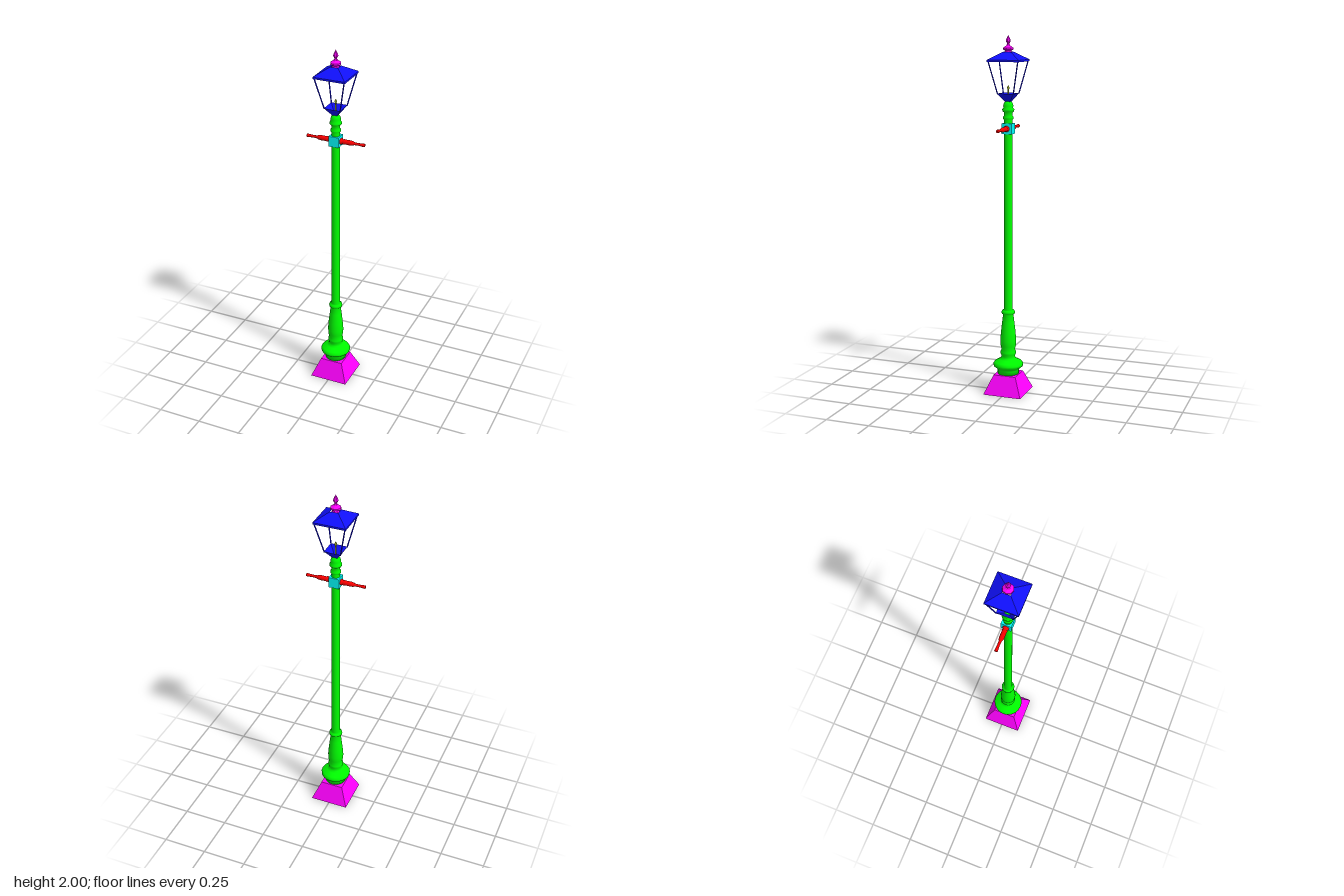
import * as THREE from 'three';

const mat = (color, flatShading = false) =>
  new THREE.MeshStandardMaterial({ color, flatShading, side: THREE.DoubleSide });
const MAGENTA = mat(0xff00ff, true), GREEN = mat(0x00ff00), BLUE = mat(0x1010ff, true);
const CYAN = mat(0x00ffff, true), RED = mat(0xff0000), OLIVE = mat(0x99aa22);

function add(parent, name, geometry, material) {
  const mesh = new THREE.Mesh(geometry, material);
  mesh.name = name;
  parent.add(mesh);
  return mesh;
}

// Square frustum given by its half widths and heights
function frustum(bottom, top, y0, y1, open = false) {
  const g = new THREE.CylinderGeometry(top * Math.SQRT2, bottom * Math.SQRT2, y1 - y0, 4, 1, open);
  return g.rotateY(Math.PI / 4).translate(0, (y0 + y1) / 2, 0);
}

const lathe = (profile, sides) =>
  new THREE.LatheGeometry(profile.map(([r, y]) => new THREE.Vector2(r, y)), sides);

// Thin rod between two points
function rod(a, b, radius) {
  const dir = b.clone().sub(a);
  const g = new THREE.CylinderGeometry(radius, radius, dir.length(), 6);
  g.applyQuaternion(new THREE.Quaternion().setFromUnitVectors(
    new THREE.Vector3(0, 1, 0), dir.normalize()));
  const mid = a.clone().add(b).multiplyScalar(0.5);
  return g.translate(mid.x, mid.y, mid.z);
}

export function createModel() {
  const lamp = new THREE.Group();
  lamp.name = 'streetLamp';

  // Plinth
  add(lamp, 'plinth', frustum(0.11, 0.065, 0, 0.107), MAGENTA);

  // Turned post: foot mouldings, vase, plain shaft and neck rings
  add(lamp, 'post', lathe([
    [0, 0.105], [0.06, 0.105], [0.06, 0.13], [0.068, 0.14], [0.083, 0.152], [0.085, 0.165],
    [0.076, 0.177], [0.05, 0.19], [0.041, 0.198], [0.038, 0.21], [0.043, 0.222], [0.044, 0.235],
    [0.038, 0.248], [0.043, 0.27], [0.045, 0.3], [0.041, 0.35], [0.034, 0.41], [0.029, 0.45],
    [0.037, 0.458], [0.038, 0.467], [0.034, 0.475], [0.025, 0.48], [0.023, 1.0], [0.023, 1.545],
    [0.028, 1.55], [0.028, 1.56], [0.023, 1.566], [0.024, 1.585], [0.032, 1.592], [0.033, 1.602],
    [0.026, 1.61], [0.028, 1.62], [0.024, 1.635], [0.014, 1.647], [0, 1.647],
  ], 20), GREEN);

  // Ladder bar: centre block with a turned arm on each side
  add(lamp, 'barBlock', new THREE.BoxGeometry(0.058, 0.058, 0.058).translate(0, 1.497, 0), CYAN);
  const armProfile = [
    [0.017, 0.027], [0.017, 0.036], [0.011, 0.041], [0.016, 0.047], [0.013, 0.054],
    [0.014, 0.085], [0.012, 0.1], [0.008, 0.107], [0.007, 0.13], [0.009, 0.16], [0.009, 0.167], [0, 0.167],
  ];
  for (const side of [-1, 1]) {
    const arm = add(lamp, side > 0 ? 'leftArm' : 'rightArm', lathe(armProfile, 10), RED);
    arm.position.y = 1.497;
    arm.rotation.z = -side * Math.PI / 2;
  }

  // Lantern: open cup, corner bars and hollow roof
  const lantern = new THREE.Group();
  lantern.name = 'lantern';
  lamp.add(lantern);
  add(lantern, 'cup', frustum(0.012, 0.047, 1.64, 1.688, true), BLUE);
  for (const x of [-1, 1]) for (const z of [-1, 1]) {
    add(lantern, 'cornerBar', rod(
      new THREE.Vector3(x * 0.045, 1.685, z * 0.045),
      new THREE.Vector3(x * 0.085, 1.864, z * 0.085), 0.0035), BLUE);
  }
  add(lantern, 'roofRim', frustum(0.09, 0.09, 1.858, 1.868, true), BLUE);
  add(lantern, 'roof', frustum(0.09, 0.022, 1.868, 1.91, true), BLUE);

  // Burner inside the lantern
  add(lantern, 'burner', lathe([
    [0.005, 1.642], [0.005, 1.7], [0.003, 1.705], [0.007, 1.715], [0.005, 1.725], [0, 1.732],
  ], 8), OLIVE);

  // Finial
  add(lantern, 'finial', lathe([
    [0, 1.903], [0.022, 1.903], [0.018, 1.916], [0.03, 1.922], [0.029, 1.931], [0.012, 1.943],
    [0.006, 1.953], [0.014, 1.967], [0.013, 1.974], [0.005, 1.99], [0, 2],
  ], 8), MAGENTA);

  return lamp;
}
